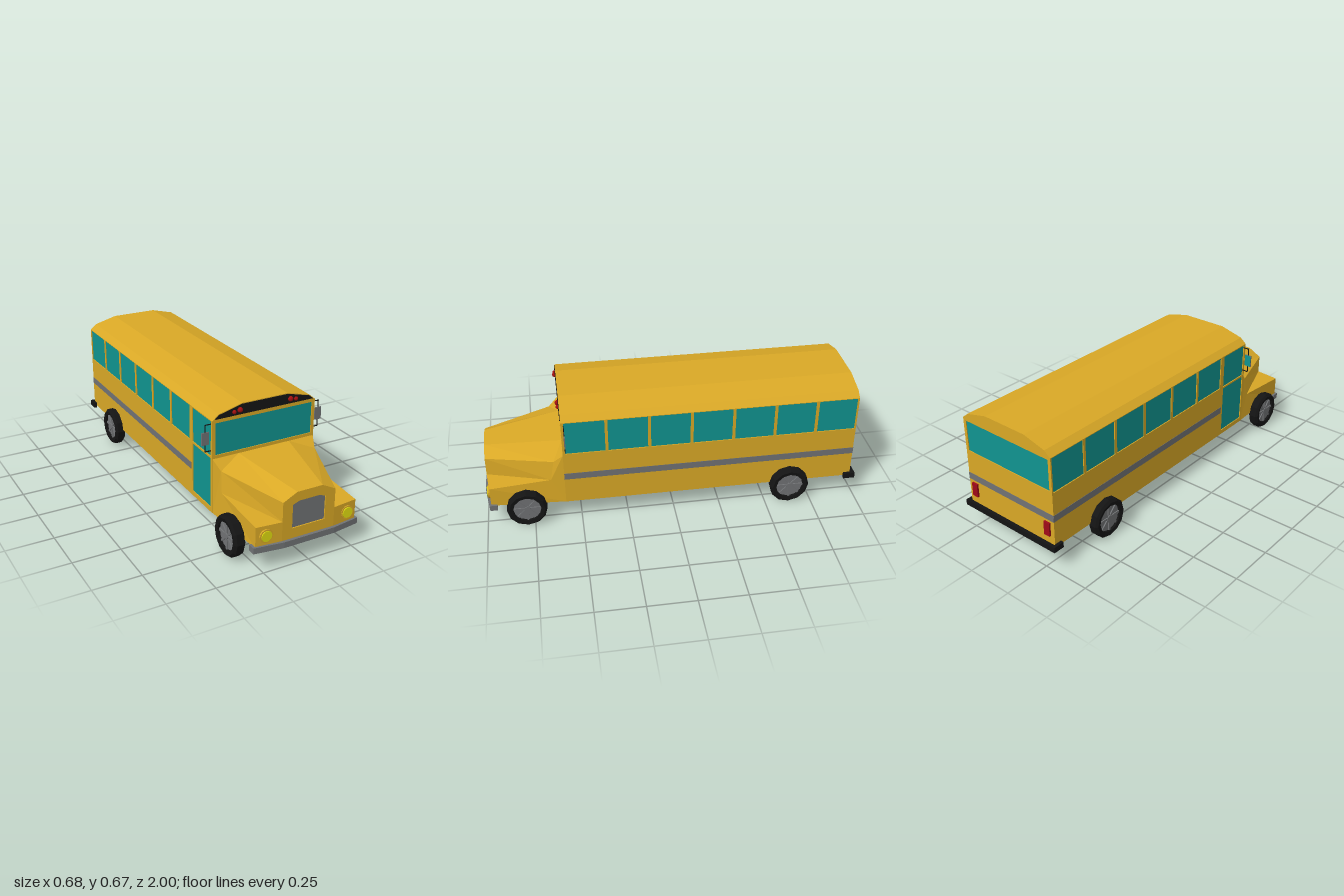
import * as THREE from 'three';

const mat = (color, extra = {}) =>
  new THREE.MeshStandardMaterial({ color, flatShading: true, side: THREE.DoubleSide, ...extra });
const paint = mat(0xd9a826), glass = mat(0x109490), grey = mat(0x707274), black = mat(0x141414);
const red = mat(0xa01010, { flatShading: false }), tailRed = mat(0xa00a18), lamp = mat(0xe0dc10);

const HALF = 0.292, FRONT = 0.58, BACK = -0.976, FLOOR = 0.115, SKIN = 0.012;
// roof section, from the +x eave to the -x eave
const ROOF = [[HALF, 0.61], [0.257, 0.639], [0.129, 0.672], [-0.129, 0.672], [-0.257, 0.639], [-HALF, 0.61]];

const shapeOf = (pts, holes = []) => {
  const s = new THREE.Shape(pts.map(p => new THREE.Vector2(...p)));
  holes.forEach(h => s.holes.push(new THREE.Path(h.map(p => new THREE.Vector2(...p)))));
  return s;
};
const rect = (x0, y0, x1, y1) => [[x0, y0], [x1, y0], [x1, y1], [x0, y1]];
const slab = (pts, depth, holes) =>
  new THREE.ExtrudeGeometry(shapeOf(pts, holes), { depth, bevelEnabled: false });

function add(parent, name, geo, material, x = 0, y = 0, z = 0) {
  const m = new THREE.Mesh(geo, material);
  m.name = name;
  m.position.set(x, y, z);
  parent.add(m);
  return m;
}
const box = (parent, name, material, w, h, d, x, y, z) =>
  add(parent, name, new THREE.BoxGeometry(w, h, d), material, x, y, z);

// flat polygons given as corner loops, optionally mirrored in x
function facets(loops, mirrored) {
  const pos = [];
  const fan = l => {
    for (let i = 1; i < l.length - 1; i++) pos.push(...l[0], ...l[i], ...l[i + 1]);
  };
  loops.forEach(fan);
  if (mirrored) loops.forEach(l => fan(l.map(([x, y, z]) => [-x, y, z]).reverse()));
  const g = new THREE.BufferGeometry();
  g.setAttribute('position', new THREE.Float32BufferAttribute(pos, 3));
  g.computeVertexNormals();
  return g;
}

// side wall with window openings, panes and stripe; the -x side has the door
function sideWall(bus, side) {
  const g = new THREE.Group();
  g.name = side > 0 ? 'leftWall' : 'rightWall';
  const holes = [];
  for (let i = 0; i < 7; i++) {
    const z = -0.968 + i * 0.2213;
    if (side < 0 && i === 6) {
      holes.push(rect(z + 0.015, 0.42, z + 0.206, 0.605), rect(z + 0.015, 0.14, z + 0.206, 0.41));
    } else holes.push(rect(z, 0.42, z + 0.206, 0.607));
  }
  const wall = slab(rect(BACK, FLOOR, FRONT, 0.61), SKIN, holes).rotateY(-Math.PI / 2);
  add(g, 'wallPanel', wall, paint, side > 0 ? HALF : -HALF + SKIN);
  holes.forEach(h => {
    const [[z0, y0], , [z1, y1]] = h;
    box(g, y0 < 0.2 ? 'doorPane' : 'sideWindow', glass, 0.004, y1 - y0, z1 - z0,
      side * (HALF - 0.007), (y0 + y1) / 2, (z0 + z1) / 2);
  });
  const end = side > 0 ? FRONT : 0.36;
  box(g, 'sideStripe', grey, SKIN + 0.003, 0.037, end - BACK, side * (HALF - SKIN / 2), 0.279, (end + BACK) / 2);
  bus.add(g);
}

function wheel(bus, x, z) {
  const g = new THREE.Group();
  g.name = 'wheel';
  const profile = [[0.074, -0.026], [0.094, -0.03], [0.106, -0.019], [0.106, 0.019], [0.094, 0.03],
    [0.074, 0.026], [0.074, -0.026]].map(p => new THREE.Vector2(...p));
  add(g, 'tyre', new THREE.LatheGeometry(profile, 12), black);
  add(g, 'rim', new THREE.CylinderGeometry(0.076, 0.076, 0.026, 12), grey);
  add(g, 'hub', new THREE.CylinderGeometry(0.016, 0.02, 0.046, 10), grey);
  for (let i = 0; i < 8; i++) {
    const a = i * Math.PI / 4;
    box(g, 'spoke', grey, 0.062, 0.038, 0.012, Math.cos(a) * 0.043, 0, Math.sin(a) * 0.043).rotation.y = -a;
  }
  g.rotation.z = -Math.PI / 2 * Math.sign(x);
  g.position.set(x, 0.105, z);
  bus.add(g);
}

function mirror(bus, s) {
  const g = new THREE.Group();
  g.name = 'sideMirror';
  const z = 0.566;
  box(g, 'mirrorBack', grey, 0.038, 0.066, 0.006, s * 0.323, 0.52, z);
  box(g, 'mirrorGlass', glass, 0.036, 0.064, 0.002, s * 0.323, 0.52, z - 0.004);
  box(g, 'mirrorPost', black, 0.004, 0.144, 0.004, s * 0.323, 0.521, z);
  for (const y of [0.451, 0.591]) box(g, 'mirrorArm', black, 0.035, 0.004, 0.004, s * 0.3065, y, z);
  bus.add(g);
}

function hood(bus) {
  const A = [0.145, 0.41, FRONT], B = [0.29, 0.41, FRONT], C = [0.27, 0.363, 0.63];
  const D = [0.145, 0.334, 0.985], E = [0.07, 0.372, 0.985], F = [0.145, 0.233, 0.985];
  const G = [0.28, 0.233, 0.97], H = [0.28, 0.125, 0.97], I = [0.277, 0.255, 0.65];
  const J = [0.29, FLOOR, FRONT], N = [0.145, 0.125, 0.985];
  const flip = ([x, y, z]) => [-x, y, z];
  add(bus, 'hoodTop', facets([[E, A, flip(A), flip(E)]]), paint);
  add(bus, 'hoodAndFenders', facets([
    [E, D, C, A], [A, C, B], [D, F, I, C], [F, G, I], [G, H, J, I], [I, J, B, C], [N, H, G, F],
  ], true), paint);
  // nose panel with the grille set into it
  const grille = [[-0.091, 0.185], [0.091, 0.185], [0.091, 0.31], [0.055, 0.323], [-0.055, 0.323], [-0.091, 0.31]];
  const nose = [N, D, E, flip(E), flip(D), flip(N)].map(([x, y]) => [x, y]);
  add(bus, 'nosePanel', slab(nose, SKIN, [grille]), paint, 0, 0, 0.985 - SKIN);
  add(bus, 'grille', slab(grille, 0.004), grey, 0, 0, 0.975);
  for (const s of [1, -1]) {
    const ring = new THREE.CylinderGeometry(0.036, 0.03, 0.05, 16).rotateX(Math.PI / 2);
    add(bus, 'headlightRing', ring, paint, s * 0.227, 0.181, 0.957);
    const lens = new THREE.CylinderGeometry(0.028, 0.028, 0.006, 16).rotateX(Math.PI / 2);
    add(bus, 'headlight', lens, lamp, s * 0.227, 0.181, 0.983);
  }
}

export function createModel() {
  const bus = new THREE.Group();
  bus.name = 'bus';

  // roof shell
  const inner = ROOF.map(([x, y]) => [x * 0.96, y - SKIN]).reverse();
  add(bus, 'roof', slab([...ROOF, ...inner], FRONT - BACK), paint, 0, 0, BACK);
  sideWall(bus, 1);
  sideWall(bus, -1);

  // end walls with their large windows
  const endWall = (name, low, pane, z, paneZ) => {
    const outline = [[-HALF, low], [HALF, low], ...ROOF];
    add(bus, name + 'Wall', slab(outline, 0.008, [pane]), paint, 0, 0, z);
    add(bus, name + 'Window', slab(pane, 0.002), glass, 0, 0, paneZ);
  };
  endWall('front', 0.41, rect(-0.275, 0.427, 0.275, 0.596), FRONT - 0.008, FRONT - 0.006);
  endWall('rear', FLOOR, rect(-0.275, 0.427, 0.275, 0.596), BACK, BACK + 0.004);
  box(bus, 'rearStripe', grey, 2 * HALF + 0.002, 0.037, 0.011, 0, 0.279, BACK + 0.004);

  // dark light panel over the windshield
  const panel = [[0.278, 0.616], ...ROOF.slice(1, 5).map(([x, y]) => [x, y - 0.004]), [-0.278, 0.616]];
  add(bus, 'lightPanel', slab(panel, 0.003), black, 0, 0, FRONT);
  for (const s of [1, -1]) {
    add(bus, 'warningLight', new THREE.SphereGeometry(0.014, 14, 10), red, s * 0.143, 0.641, 0.584);
    add(bus, 'warningLight', new THREE.SphereGeometry(0.011, 14, 10), red, s * 0.175, 0.636, 0.584);
    box(bus, 'tailLight', tailRed, 0.036, 0.075, 0.012, s * 0.25, 0.21, BACK - 0.004);
    mirror(bus, s);
  }
  hood(bus);

  // bumpers, bent in plan and wrapped round the corners
  const bumper = (name, pts, h, top, m) => {
    const both = [...pts, ...pts.map(([x, z]) => [-x, z]).reverse()];
    add(bus, name, slab(both, h).rotateX(Math.PI / 2), m, 0, top);
  };
  bumper('frontBumper', [[0.14, 0.985], [0.278, 0.966], [0.278, 0.938], [0.293, 0.938], [0.293, 0.978], [0.14, 1]]
    .reverse(), 0.031, 0.132, grey);
  bumper('rearBumper', [[0.31, -1], [0.31, -0.938], [0.293, -0.938], [0.293, -0.982]], 0.03, 0.135, black);

  wheel(bus, 0.292, 0.786);
  wheel(bus, -0.308, 0.786);
  for (const s of [1, -1]) wheel(bus, s * 0.305, -0.628);
  return bus;
}
